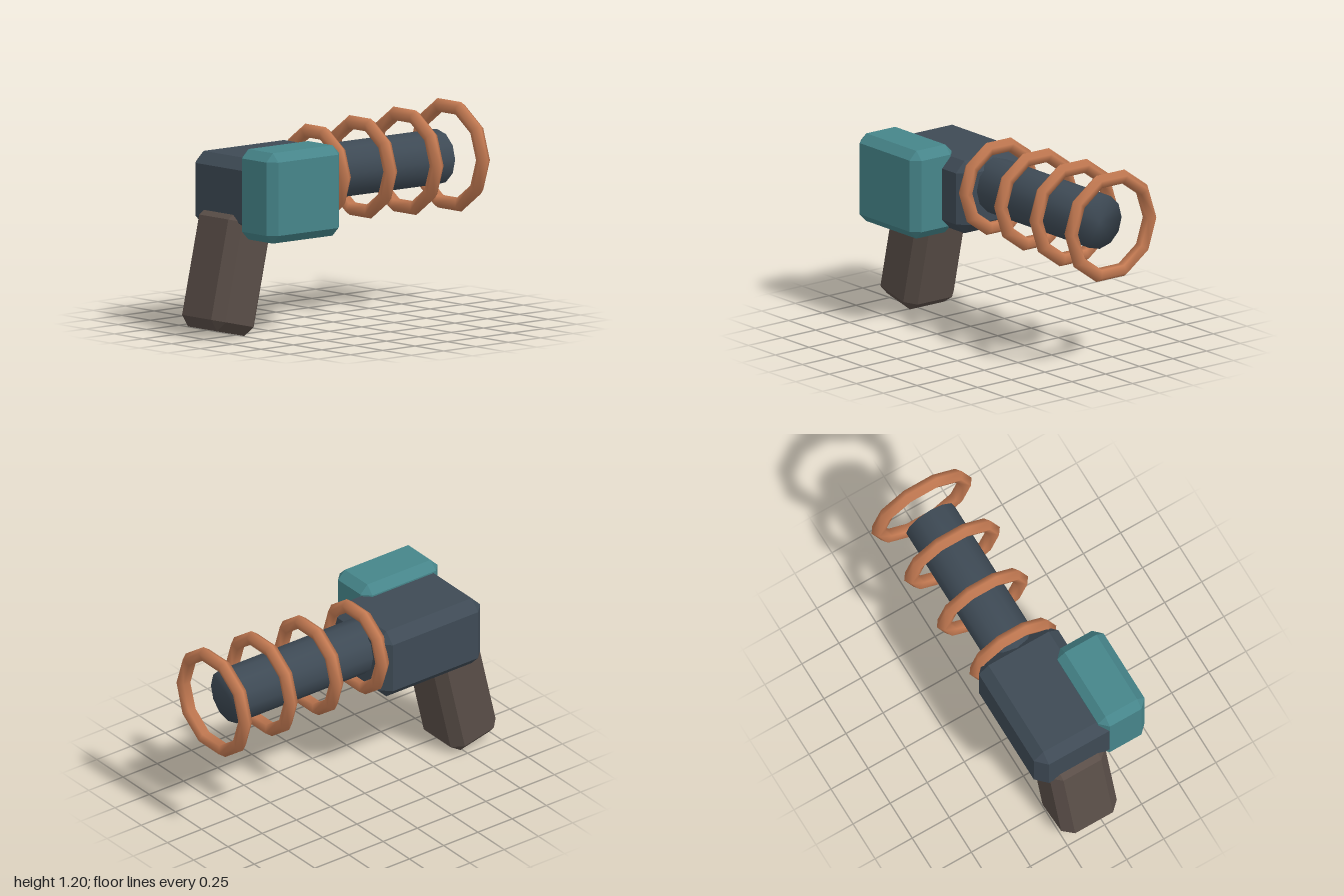
import * as THREE from 'three';
import { ConvexGeometry } from 'three/addons/geometries/ConvexGeometry.js';
import { mergeVertices } from 'three/addons/utils/BufferGeometryUtils.js';

const material = (name, color) => Object.assign(new THREE.MeshStandardMaterial({ color }), { name });

// Box with every edge and corner cut off by c
function chamferBox(w, h, d, c) {
  const points = [];
  for (const x of [-w / 2, w / 2]) for (const y of [-h / 2, h / 2]) for (const z of [-d / 2, d / 2]) {
    const sx = Math.sign(x) * c, sy = Math.sign(y) * c, sz = Math.sign(z) * c;
    points.push(
      new THREE.Vector3(x, y - sy, z - sz),
      new THREE.Vector3(x - sx, y, z - sz),
      new THREE.Vector3(x - sx, y - sy, z));
  }
  return new ConvexGeometry(points);
}

export function createModel() {
  const model = new THREE.Group();
  model.name = 'coilBlaster';
  const slate = material('slate', 0x3e4a55);
  const teal = material('teal', 0x46858a);
  const brown = material('brown', 0x594d47);
  const copper = material('copper', 0xc47a52);

  const add = (name, geometry, mat, x, y, z) => {
    const mesh = new THREE.Mesh(geometry, mat);
    mesh.name = name;
    mesh.position.set(x, y, z);
    model.add(mesh);
    return mesh;
  };
  const axisX = -0.068, axisY = 0.88;

  // Body, side power pack and tilted grip
  add('body', chamferBox(0.535, 0.437, 0.75, 0.064), slate, axisX, 0.837, 0.45);
  add('powerPack', chamferBox(0.313, 0.53, 0.562, 0.05), teal, 0.245, 0.85, 0.546);
  const grip = add('grip', chamferBox(0.375, 0.71, 0.337, 0.06), brown, axisX, 0.376, 0.765);
  grip.rotation.x = THREE.MathUtils.degToRad(-13);

  // Barrel, with the end caps smoothed into the side
  let barrel = new THREE.CylinderGeometry(0.163, 0.163, 1.07, 12);
  barrel.rotateX(Math.PI / 2);
  barrel.deleteAttribute('uv');
  barrel.deleteAttribute('normal');
  barrel = mergeVertices(barrel);
  barrel.computeVertexNormals();
  add('barrel', barrel, slate, axisX, axisY, -0.325);

  // Coils that widen towards the muzzle
  for (let i = 0; i < 4; i++) {
    const coil = new THREE.TorusGeometry(0.25 + 0.015 * i, 0.0425, 5, 10);
    add('coil' + (i + 1), coil, copper, axisX, axisY, 0.075 - 0.345 * i);
  }
  return model;
}
